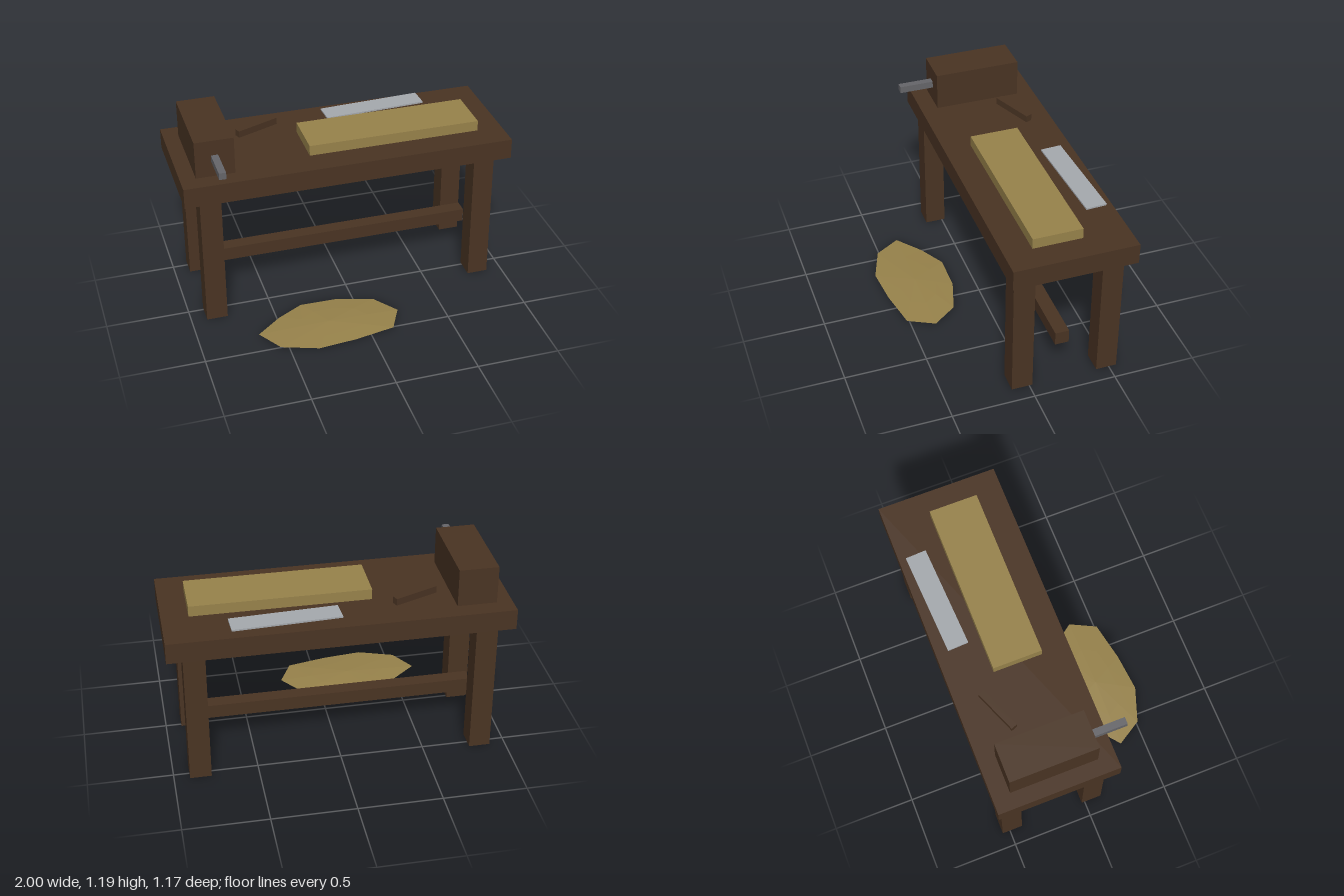
import * as THREE from 'three';

export function createModel() {
  const model = new THREE.Group();
  model.name = 'workbench';

  const mat = (name, color) => {
    const m = new THREE.MeshStandardMaterial({ color });
    m.name = name;
    return m;
  };
  const darkWood = mat('darkWood', 0x4a3423);
  const paleWood = mat('paleWood', 0x98834b);
  const steel = mat('steel', 0xa6aaaf);
  const iron = mat('iron', 0x66666a);

  const add = (name, geometry, material) => {
    const mesh = new THREE.Mesh(geometry, material);
    mesh.name = name;
    model.add(mesh);
    return mesh;
  };
  // Box given by its size and centre, optionally turned about y
  const box = (name, material, [w, h, d], [x, y, z], turn = 0) => {
    const mesh = add(name, new THREE.BoxGeometry(w, h, d), material);
    mesh.position.set(x, y, z);
    mesh.rotation.y = turn;
    return mesh;
  };

  // Bench: top, four legs and a centre stretcher
  box('benchTop', darkWood, [2, 0.125, 0.737], [0, 0.8975, -0.2215]);
  for (const x of [-0.843, 0.843]) {
    for (const z of [0.044, -0.484]) {
      box('leg', darkWood, [0.127, 0.836, 0.127], [x, 0.418, z]);
    }
  }
  box('stretcher', darkWood, [1.686, 0.085, 0.085], [0, 0.2545, -0.2205]);

  // Vise block with its square iron screw
  box('viseBlock', darkWood, [0.232, 0.232, 0.528], [-0.791, 1.075, -0.221]);
  box('viseScrew', iron, [0.042, 0.042, 0.23], [-0.791, 1.076, 0.138]);

  // Work and tools on the bench
  box('plank', paleWood, [1.056, 0.065, 0.297], [0.315, 0.992, -0.1685]);
  box('toolHandle', darkWood, [0.277, 0.042, 0.04], [-0.448, 1.003, -0.381], 0.38);
  box('sawBlade', steel, [0.632, 0.01, 0.126], [0.314, 0.982, -0.469], 0.05);

  // Flat faceted heap of shavings: underside centre, rim, inner ring, peak
  const rim = [
    [-0.645, 0.355], [-0.49, 0.23], [-0.33, 0.14], [-0.1, 0.142], [0.115, 0.205],
    [0.225, 0.355], [0.145, 0.515], [-0.1, 0.563], [-0.335, 0.585], [-0.55, 0.51],
  ];
  const cx = -0.21, cz = 0.36, n = rim.length;
  const ring = (scale, yAt) => rim.map(([x, z]) =>
    [cx + (x - cx) * scale, yAt(x), cz + (z - cz) * scale]);
  const edge = ring(1, x => 0.008 - x * 0.005);
  const upper = ring(0.55, () => 0.016);
  const lower = ring(0.6, () => 0.003);
  const peak = [cx, 0.022, cz], base = [cx, 0.002, cz];
  const points = [];
  const tri = (...corners) => corners.forEach(c => points.push(...c));
  for (let i = 0; i < n; i++) {
    const j = (i + 1) % n;
    tri(peak, upper[j], upper[i]);
    tri(upper[i], upper[j], edge[j]);
    tri(upper[i], edge[j], edge[i]);
    tri(edge[i], edge[j], lower[j]);
    tri(edge[i], lower[j], lower[i]);
    tri(base, lower[i], lower[j]);
  }
  const heap = new THREE.BufferGeometry();
  heap.setAttribute('position', new THREE.Float32BufferAttribute(points, 3));
  heap.computeVertexNormals();
  add('shavings', heap, paleWood);

  return model;
}
